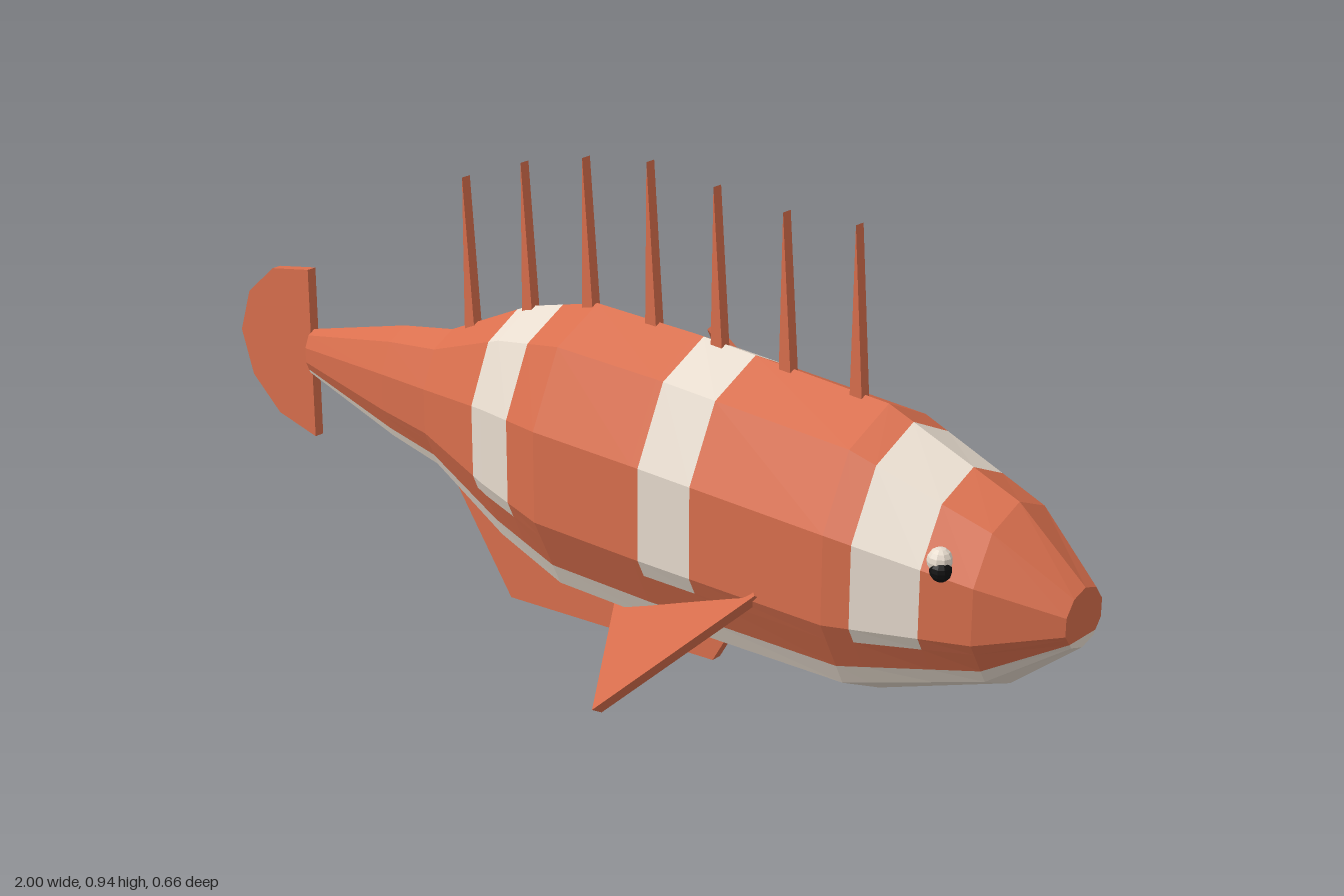
import * as THREE from 'three';

const mat = (name, color) => {
  const m = new THREE.MeshStandardMaterial({ color, flatShading: true });
  m.name = name;
  return m;
};

const CY = 0.382, CZ = 0.1; // body axis

// body stations: x, vertical radius, sideways radius
const STATIONS = [
  [-0.79, 0.048, 0.027], [-0.53, 0.118, 0.067], [-0.4, 0.142, 0.083], [-0.2, 0.235, 0.137],
  [-0.03, 0.28, 0.179], [0.2, 0.278, 0.179], [0.61, 0.258, 0.176], [0.87, 0.16, 0.124], [1, 0.052, 0.053],
];
const BANDS = [[-0.23, -0.115], [0.215, 0.33], [0.66, 0.78]];

function radiiAt(x) {
  const i = Math.max(1, STATIONS.findIndex((s) => s[0] >= x - 1e-6));
  const a = STATIONS[i - 1], b = STATIONS[i], t = (x - a[0]) / (b[0] - a[0]);
  return [a[1] + (b[1] - a[1]) * t, a[2] + (b[2] - a[2]) * t];
}

// ten-sided unit ring from the top round by +z, with extra points where the colours change
function unitRing() {
  const p = (deg) => [Math.cos(deg * Math.PI / 180), Math.sin(deg * Math.PI / 180)];
  const c = p(108), d = p(144);
  const onEdge = (v) => [v, c[1] + (d[1] - c[1]) * (v - c[0]) / (d[0] - c[0])];
  const half = [p(0), p(36), p(72), c, onEdge(-0.43), onEdge(-0.66), d, p(180)];
  return [...half, ...half.slice(1, -1).reverse().map(([v, w]) => [v, -w])];
}

function geometryFrom(points) {
  const g = new THREE.BufferGeometry().setFromPoints(points);
  g.computeVertexNormals();
  return g;
}

// flat convex plate of the given thickness around a loop of corners
function plate(corners, thickness = 0.02) {
  const P = corners.map((c) => new THREE.Vector3(...c));
  const n = P[1].clone().sub(P[0]).cross(P[2].clone().sub(P[0])).normalize().multiplyScalar(thickness / 2);
  const top = P.map((p) => p.clone().add(n)), low = P.map((p) => p.clone().sub(n));
  const tris = [];
  for (let i = 0; i < P.length; i++) {
    const k = (i + 1) % P.length;
    tris.push(low[i], low[k], top[k], low[i], top[k], top[i]);
    if (i > 0 && k > 0) tris.push(top[0], top[i], top[k], low[0], low[k], low[i]);
  }
  return geometryFrom(tris);
}

export function createModel() {
  const orange = mat('orange skin', 0xd96f4d);
  const cream = mat('cream', 0xf0e4d6);
  const black = mat('black', 0x111111);
  const group = new THREE.Group();
  const add = (name, geometry, material) => {
    const m = new THREE.Mesh(geometry, material);
    m.name = name;
    group.add(m);
    return m;
  };

  // body skin, sorted into back, bands and belly
  const ring = unitRing(), N = ring.length;
  const xs = [...STATIONS.map((s) => s[0]), ...BANDS.flat()].sort((a, b) => a - b);
  const rows = xs.map((x) => {
    const [ry, rz] = radiiAt(x);
    return ring.map(([v, w]) => new THREE.Vector3(x, CY + ry * v, CZ + rz * w));
  });
  const skin = { body: [], bands: [], belly: [] };
  for (let i = 0; i < rows.length - 1; i++) {
    const mid = (xs[i] + xs[i + 1]) / 2;
    const banded = BANDS.some(([a, b]) => mid > a && mid < b);
    for (let j = 0; j < N; j++) {
      const k = (j + 1) % N;
      const key = j >= 5 && j <= 8 ? 'belly' : banded && j !== 4 && j !== 9 ? 'bands' : 'body';
      const a = rows[i][j], b = rows[i][k], c = rows[i + 1][k], d = rows[i + 1][j];
      skin[key].push(a, b, c, a, c, d);
    }
  }
  // flat ends: mouth and tail root
  const fan = (list, loop) => {
    for (let i = 1; i < loop.length - 1; i++) list.push(loop[0], loop[i], loop[i + 1]);
  };
  const mouth = rows[rows.length - 1];
  fan(skin.body, mouth.filter((_, j) => j <= 5 || j >= 9));
  fan(skin.belly, mouth.slice(5, 10));
  fan(skin.body, [...rows[0]].reverse());
  add('body', geometryFrom(skin.body), orange);
  add('bands', geometryFrom(skin.bands), cream);
  add('belly', geometryFrom(skin.belly), cream);

  // tail and bottom fins stand in the middle plane
  const upright = (pts) => plate(pts.map(([x, y]) => [x, y, CZ]));
  add('tailFin', upright([[-0.79, 0.555], [-0.895, 0.535], [-0.97, 0.47], [-1, 0.382],
    [-0.97, 0.293], [-0.895, 0.229], [-0.79, 0.205]]), orange);
  add('bottomFin', upright([[-0.42, 0.26], [-0.25, 0.022], [0.25, 0.058], [0.31, 0.16]]), orange);

  // row of wedge spines along the back
  [0.83, 0.887, 0.925, 0.947, 0.933, 0.92, 0.93].forEach((tip, i) => {
    const x = -0.345 + i * 0.149;
    const y = CY + radiiAt(x)[0] - 0.02;
    add('backSpine' + (i + 1), upright([[x - 0.012, y], [x + 0.014, y], [x - 0.009, tip]]), orange);
  });

  // side fins, set at different angles
  add('leftSideFin', plate([[0.48, 0.31, 0.265], [0.15, 0.49, 0.01], [0.057, 0.21, 0.115], [0.165, 0.01, 0.322]]), orange);
  add('rightSideFin', plate([[0.5, 0.3, -0.07], [0.165, 0.645, 0.02], [0.06, 0.41, -0.195], [0.165, 0.15, -0.322]]), orange);

  // eyes
  for (const [side, s] of [['left', 1], ['right', -1]]) {
    add(side + 'EyeWhite', new THREE.SphereGeometry(0.022, 10, 8), cream).position.set(0.805, 0.461, CZ + s * 0.117);
    add(side + 'Pupil', new THREE.SphereGeometry(0.019, 10, 8), black).position.set(0.812, 0.448, CZ + s * 0.124);
  }
  return group;
}
